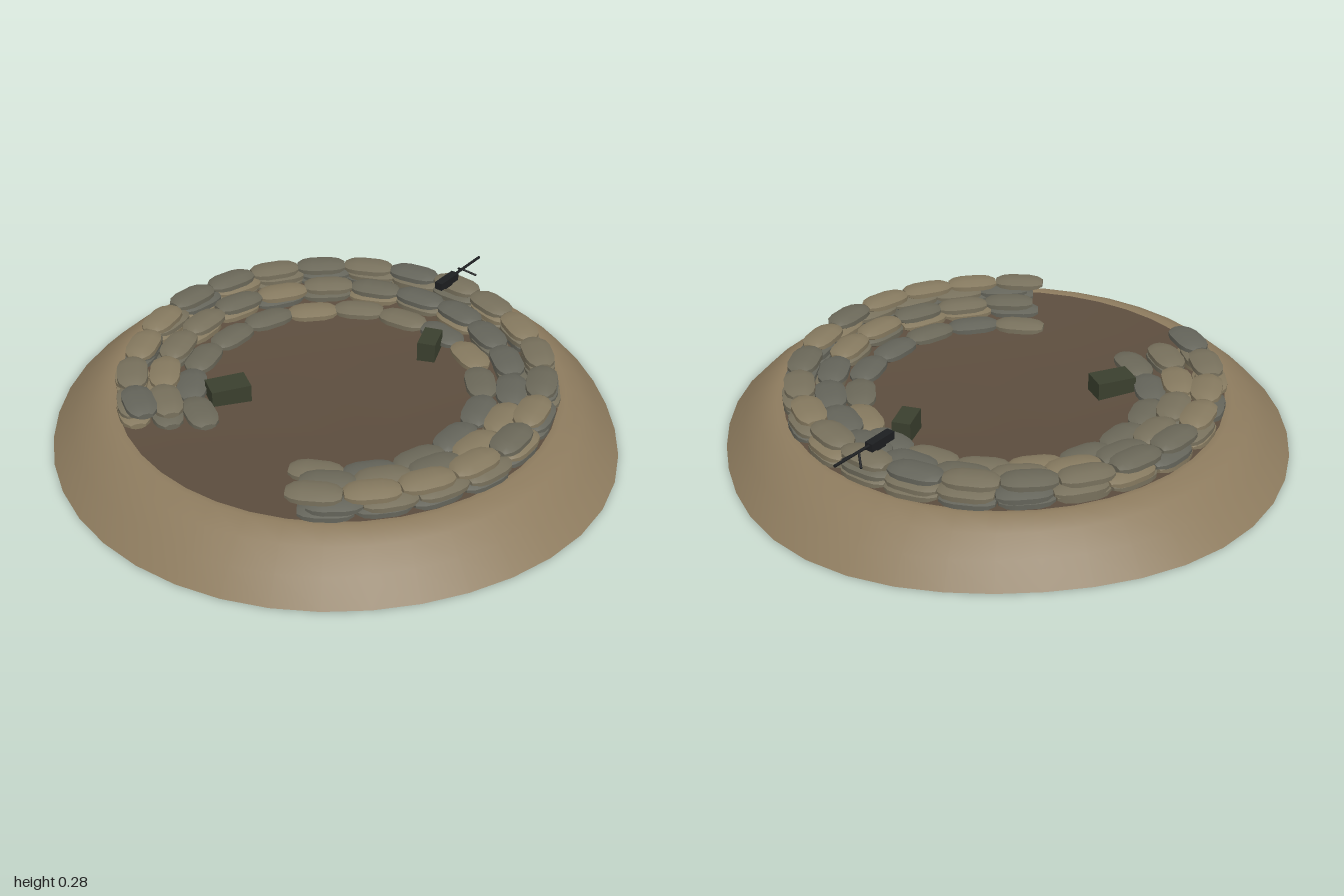
import * as THREE from 'three';
import { toCreasedNormals } from 'three/addons/utils/BufferGeometryUtils.js';

const mat = (color, side = THREE.FrontSide) => new THREE.MeshStandardMaterial({ color, side });
const v2 = (pts) => pts.map(([x, y]) => new THREE.Vector2(x, y));

function add(parent, name, geometry, material, x = 0, y = 0, z = 0) {
  const mesh = new THREE.Mesh(geometry, material);
  mesh.name = name;
  mesh.position.set(x, y, z);
  parent.add(mesh);
  return mesh;
}

function seeded(seed) {
  return () => {
    seed = (seed * 16807) % 2147483647;
    return seed / 2147483647;
  };
}

// Earth bank: a turned profile whose foot wanders a little off the circle
function bankGeometry() {
  const geo = new THREE.LatheGeometry(v2([[1, 0], [0.925, 0.075], [0.85, 0.135], [0.785, 0.165], [0.76, 0.16]]), 40);
  const p = geo.attributes.position;
  for (let i = 0; i < p.count; i++) {
    const x = p.getX(i), z = p.getZ(i);
    const a = Math.atan2(z, x), r = Math.hypot(x, z);
    const wobble = -0.012 + 0.012 * Math.cos(4 * a) - 0.018 * Math.cos(a) * Math.sin(2 * a) ** 2;
    const k = 1 + wobble * THREE.MathUtils.smoothstep(r, 0.78, 1);
    p.setX(i, x * k);
    p.setZ(i, z * k);
  }
  return toCreasedNormals(geo, 0.9);
}

// Stuffed bag lying along x, blunt at both ends
function bagGeometry() {
  const geo = new THREE.LatheGeometry(
    v2([[0, -0.5], [0.24, -0.5], [0.42, -0.38], [0.5, -0.2], [0.5, 0.2], [0.42, 0.38], [0.24, 0.5], [0, 0.5]]), 8);
  geo.rotateZ(Math.PI / 2);
  geo.rotateX(Math.PI / 8);
  geo.scale(0.178, 0.045, 0.112);
  return toCreasedNormals(geo, 0.8);
}

// Thin round bar between two points
function bar(parent, name, from, to, radius, material) {
  const a = new THREE.Vector3(...from), b = new THREE.Vector3(...to);
  const mesh = add(parent, name, new THREE.CylinderGeometry(radius, radius, a.distanceTo(b), 8), material);
  mesh.position.copy(a).lerp(b, 0.5);
  mesh.quaternion.setFromUnitVectors(new THREE.Vector3(0, 1, 0), b.sub(a).normalize());
  return mesh;
}

export function createModel() {
  const model = new THREE.Group();
  model.name = 'gunPit';

  add(model, 'earthBank', bankGeometry(), mat(0x8d7b5e, THREE.DoubleSide));

  // Shallow dished floor
  const floor = new THREE.LatheGeometry(
    v2([[0.762, 0.16], [0.62, 0.146], [0.45, 0.13], [0.25, 0.118], [0, 0.113]]), 40);
  add(model, 'pitFloor', floor, mat(0x5c4d3e, THREE.DoubleSide));

  // Sandbag wall: three layers stepping down into the pit, open toward -x
  const wall = new THREE.Group();
  wall.name = 'sandbagWall';
  model.add(wall);
  const bag = bagGeometry();
  const cloth = [0x85795f, 0x6b6859, 0x77705c, 0x64645a].map((c) => mat(c));
  const rnd = seeded(41);
  const rows = [ // radius, height, number of bags, end angle in degrees
    [0.5, 0.15, 16, 149],
    [0.605, 0.158, 18, 146],
    [0.71, 0.17, 21, 144],
    [0.6, 0.19, 18, 144],
    [0.708, 0.19, 21, 142],
    [0.7, 0.227, 21, 147],
  ];
  for (const [radius, y, count, end] of rows) {
    for (let i = 0; i < count; i++) {
      const t = THREE.MathUtils.degToRad(-end + (2 * end * i) / (count - 1));
      const r = radius + (rnd() - 0.5) * 0.012;
      const mesh = add(wall, 'sandbag', bag, cloth[Math.floor(rnd() * cloth.length)],
        r * Math.cos(t), y + (rnd() - 0.5) * 0.004, r * Math.sin(t));
      mesh.rotation.y = Math.PI / 2 - t + (rnd() - 0.5) * 0.12;
    }
  }

  // Ammunition crates on the floor
  const crate = mat(0x3a3f2e);
  add(model, 'largeCrate', new THREE.BoxGeometry(0.14, 0.075, 0.09), crate, -0.265, 0.148, -0.27).rotation.y = -0.54;
  add(model, 'smallCrate', new THREE.BoxGeometry(0.11, 0.075, 0.065), crate, 0.395, 0.16, 0.105).rotation.y = 0.38;

  // Machine gun resting on the wall
  const gun = new THREE.Group();
  gun.name = 'machineGun';
  gun.position.z = -0.01;
  model.add(gun);
  const steel = mat(0x1c1e20);
  add(gun, 'receiver', new THREE.BoxGeometry(0.105, 0.028, 0.03), steel, 0.652, 0.267, 0);
  add(gun, 'mount', new THREE.BoxGeometry(0.04, 0.014, 0.02), steel, 0.655, 0.25, 0);
  bar(gun, 'barrel', [0.7, 0.272, 0], [0.86, 0.275, 0], 0.005, steel);
  for (const side of [-1, 1]) {
    bar(gun, 'bipodLeg', [0.75, 0.272, 0], [0.785, 0.245, 0.04 * side], 0.004, steel);
  }

  return model;
}
